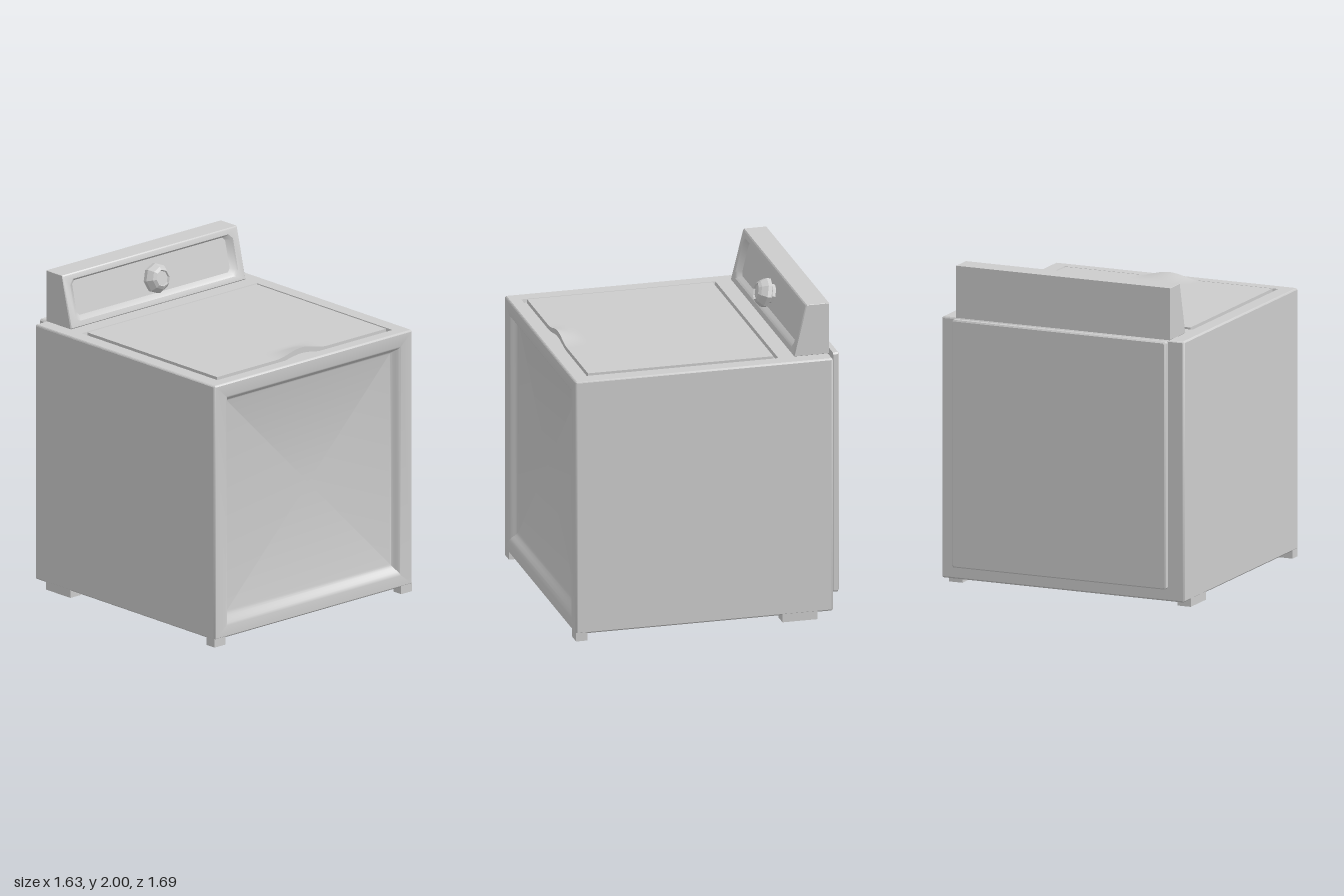
import * as THREE from 'three';
import { toCreasedNormals } from 'three/addons/utils/BufferGeometryUtils.js';

const grey = new THREE.MeshStandardMaterial({ color: 0xcccccc });
const faceted = new THREE.MeshStandardMaterial({ color: 0xcccccc, flatShading: true });

// Rectangle with cut corners; z may be a number or a rule of y.
function ring(x0, x1, y0, y1, z, cut = 0.002) {
  const c = cut;
  return [
    [x0 + c, y0], [x1 - c, y0], [x1, y0 + c], [x1, y1 - c],
    [x1 - c, y1], [x0 + c, y1], [x0, y1 - c], [x0, y0 + c],
  ].map(([x, y]) => [x, y, typeof z === 'function' ? z(y) : z]);
}

// Bridges successive rings towards +z, closes the last one and, if asked, the first.
function loft(rings, closeStart = false) {
  const pos = [];
  const n = rings[0].length;
  const centre = (r) => [0, 1, 2].map((k) => r.reduce((s, p) => s + p[k], 0) / n);
  const first = rings[0], last = rings[rings.length - 1];
  const c0 = centre(first), c1 = centre(last);
  for (let i = 0; i < n; i++) {
    const j = (i + 1) % n;
    for (let k = 0; k < rings.length - 1; k++) {
      const a = rings[k], b = rings[k + 1];
      pos.push(...a[i], ...a[j], ...b[j], ...a[i], ...b[j], ...b[i]);
    }
    pos.push(...c1, ...last[i], ...last[j]);
    if (closeStart) pos.push(...c0, ...first[j], ...first[i]);
  }
  const g = new THREE.BufferGeometry();
  g.setAttribute('position', new THREE.Float32BufferAttribute(pos, 3));
  return toCreasedNormals(g, 0.55);
}

export function createModel() {
  const model = new THREE.Group();
  const add = (name, geometry, parent = model, material = grey) => {
    const mesh = new THREE.Mesh(geometry, material);
    mesh.name = name;
    parent.add(mesh);
    return mesh;
  };

  const W = 0.815, Y0 = 0.045, Y1 = 1.675, ZB = -0.78, ZF = 0.845, R = 0.01;

  // Cabinet: one panel per side, each with half of the small edge bevel
  const cabinet = new THREE.Group();
  cabinet.name = 'cabinet';
  model.add(cabinet);
  const edge = (x0, x1, y0, y1, z) => [
    ring(x0 + R / 2, x1 - R / 2, y0 + R / 2, y1 - R / 2, z - R / 2, 0.0005),
    ring(x0 + R, x1 - R, y0 + R, y1 - R, z, 0.0005),
  ];

  // Front with a softly dished field
  const front = edge(-W, W, Y0, Y1, ZF);
  for (let i = 0; i <= 6; i++) {
    const t = i / 6;
    const x = 0.72 - 0.05 * t;
    const depth = 0.05 * t * t * (3 - 2 * t);
    front.push(ring(-x, x, 0.12 + 0.075 * t, 1.59 - 0.05 * t, ZF - depth));
  }
  add('frontPanel', loft(front), cabinet);

  // Top with the lid channel (drawn upright, then laid flat)
  const top = [
    ...edge(-W, W, -ZF, -ZB, Y1),
    ring(-0.72, 0.72, -0.765, 0.46, Y1),
    ring(-0.715, 0.715, -0.76, 0.455, Y1 - 0.022),
  ];
  add('topPanel', loft(top).rotateX(-Math.PI / 2), cabinet);

  add('bottomPanel', loft(edge(-W, W, ZB, ZF, -Y0)).rotateX(Math.PI / 2), cabinet);
  add('rearWall', loft(edge(-W, W, Y0, Y1, -ZB)).rotateY(Math.PI), cabinet);
  add('leftWall', loft(edge(-ZF, -ZB, Y0, Y1, W)).rotateY(Math.PI / 2), cabinet);
  add('rightWall', loft(edge(ZB, ZF, Y0, Y1, W)).rotateY(-Math.PI / 2), cabinet);

  // Feet
  for (const s of [-1, 1]) {
    const side = s > 0 ? 'Left' : 'Right';
    for (const [name, z0, z1] of [['frontFoot', 0.77, 0.842], ['rearFoot', -0.68, -0.46]]) {
      const foot = new THREE.BoxGeometry(0.09, 0.055, z1 - z0);
      add(name + side, foot).position.set(s * 0.768, 0.0275, (z0 + z1) / 2);
    }
  }

  // Lid: its front edge curls up into a finger grip
  const lid = new THREE.BoxGeometry(1.39, 0.026, 1.17, 56, 1, 36);
  lid.translate(0, 1.668, 0.15);
  const p = lid.attributes.position;
  for (let i = 0; i < p.count; i++) {
    const across = Math.max(0, 1 - Math.abs(p.getX(i)) / 0.21);
    const along = THREE.MathUtils.clamp((p.getZ(i) - 0.61) / 0.125, 0, 1);
    const lift = Math.sin(across * Math.PI / 2) ** 2 * along;
    p.setY(i, p.getY(i) + lift * (p.getY(i) > 1.668 ? 0.036 : 0.025));
  }
  add('lid', toCreasedNormals(lid, 0.6));

  // Control console with a leaning, recessed face
  const lean = 0.246;
  const slope = (back) => (y) => -0.555 - lean * (y - Y1) - back;
  const C = 0.72, b = 0.006;
  add('console', loft([
    ring(-C, C, Y1, 2, ZB),
    ring(-C, C, Y1, 2, slope(b)),
    ring(-C + b, C - b, Y1 + b, 2 - b, slope(0)),
    ring(-0.67, 0.67, 1.712, 1.965, slope(0), 0.03),
    ring(-0.66, 0.66, 1.72, 1.957, slope(0.008), 0.03),
    ring(-0.63, 0.63, 1.735, 1.945, slope(0.03), 0.02),
  ], true));

  // Eight-sided dial with a dished cap
  const profile = [
    [0.06, -0.01], [0.06, 0.02], [0.093, 0.035], [0.093, 0.06],
    [0.07, 0.095], [0.052, 0.11], [0.046, 0.1], [0, 0.1],
  ].map(([r, h]) => new THREE.Vector2(r, h));
  const dial = add('dial', new THREE.LatheGeometry(profile, 8).rotateX(Math.PI / 2), model, faceted);
  dial.position.set(0, 1.828, slope(0.03)(1.828));
  dial.rotation.x = -Math.atan(lean);

  // Rear access panel, standing just clear of the cabinet
  add('rearPanel', loft([
    ring(-0.712, 0.712, 0.138, 1.667, -0.845, 0.01),
    ring(-0.72, 0.72, 0.13, 1.675, -0.837, 0.01),
    ring(-0.72, 0.72, 0.13, 1.675, -0.806, 0.01),
  ], true));

  return model;
}
